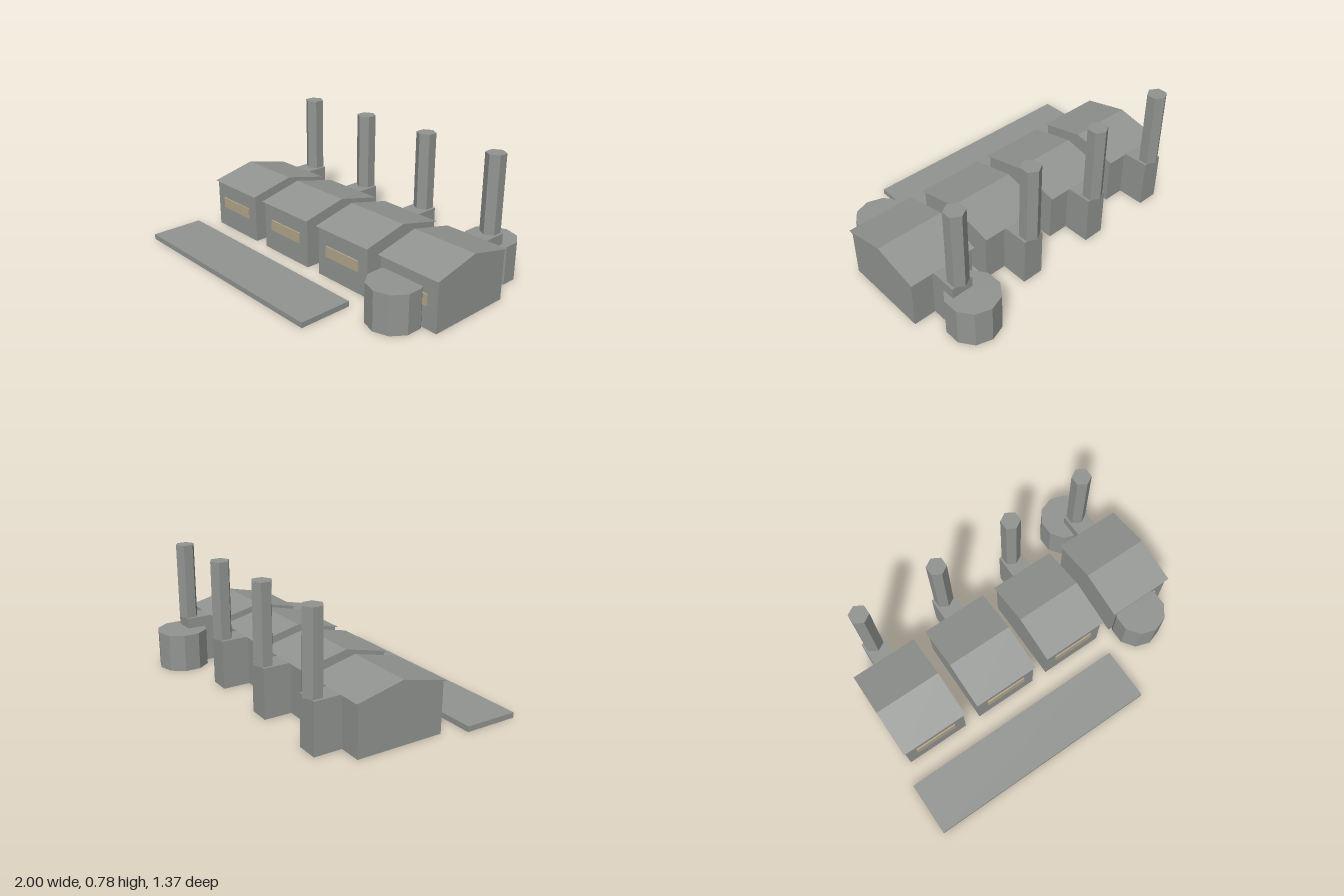
import * as THREE from 'three';

const concrete = new THREE.MeshStandardMaterial({ color: 0x929592, side: THREE.DoubleSide, flatShading: true });
concrete.name = 'concrete grey';
const glass = new THREE.MeshStandardMaterial({ color: 0xb5a98c, flatShading: true });
glass.name = 'window beige';

function add(parent, name, geometry, material, x, y, z) {
  const mesh = new THREE.Mesh(geometry, material);
  mesh.name = name;
  mesh.position.set(x, y, z);
  parent.add(mesh);
  return mesh;
}

// Box without a floor, for the hollow buildings
function openBox(w, h, d) {
  const geometry = new THREE.BoxGeometry(w, h, d);
  const index = Array.from(geometry.index.array);
  index.splice(18, 6);
  geometry.setIndex(index);
  geometry.clearGroups();
  return geometry;
}

// Gable prism with its ridge along x, centred on x and z, eaves at y = 0
function gable(width, depth, height) {
  const shape = new THREE.Shape();
  shape.moveTo(-depth / 2, 0);
  shape.lineTo(depth / 2, 0);
  shape.lineTo(0, height);
  shape.closePath();
  const geometry = new THREE.ExtrudeGeometry(shape, { depth: width, bevelEnabled: false });
  geometry.translate(0, 0, -width / 2);
  geometry.rotateY(Math.PI / 2);
  return geometry;
}

function createFurnaceHouse() {
  const house = new THREE.Group();
  // Main hall and roof
  add(house, 'hallWalls', openBox(0.405, 0.305, 0.539), concrete, 0, 0.1525, -0.057);
  add(house, 'gableRoof', gable(0.423, 0.57, 0.066), concrete, 0, 0.307, -0.058);
  // Front window strip
  add(house, 'window', new THREE.BoxGeometry(0.268, 0.068, 0.009), glass, 0, 0.171, 0.216);
  // Rear flue block and chimney
  add(house, 'flueBlock', openBox(0.133, 0.303, 0.17), concrete, 0, 0.1515, -0.411);
  add(house, 'chimney', new THREE.CylinderGeometry(0.06, 0.06, 0.474, 6), concrete, 0, 0.541, -0.463);
  return house;
}

export function createModel() {
  const model = new THREE.Group();
  model.name = 'factory';

  // Row of four identical houses
  for (let i = 0; i < 4; i++) {
    const house = createFurnaceHouse();
    house.name = `furnaceHouse${i + 1}`;
    house.position.x = -0.733 + i * 0.507;
    model.add(house);
  }

  // Ten-sided storage tanks in a line through the last house
  [0.278, -0.125, -0.528].forEach((z, i) =>
    add(model, `storageTank${i + 1}`, new THREE.CylinderGeometry(0.157, 0.157, 0.237, 10), concrete, 0.75, 0.1185, z));

  // Loading platform in front
  add(model, 'platform', new THREE.BoxGeometry(1.483, 0.033, 0.335), concrete, -0.2585, 0.0165, 0.516);

  return model;
}
